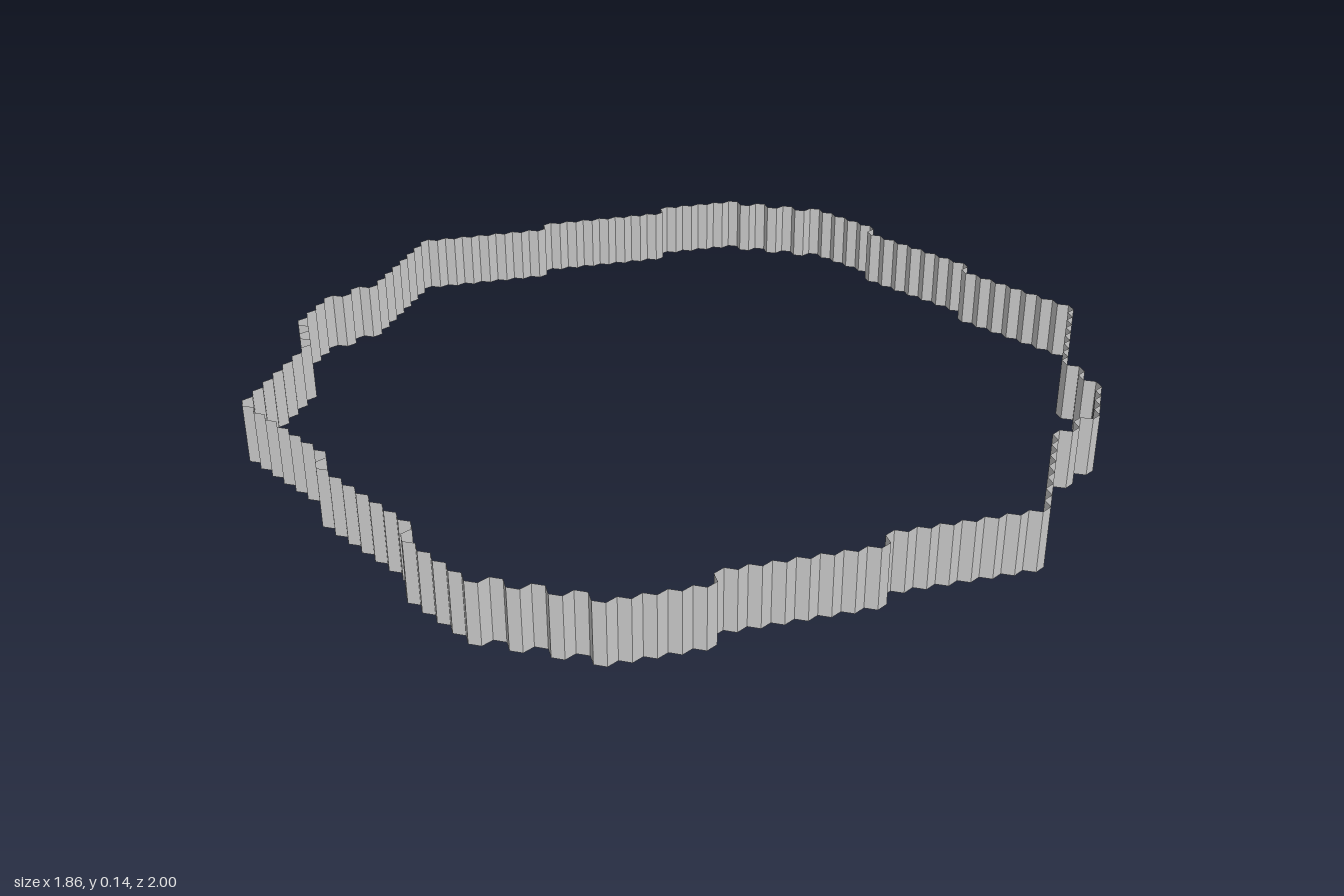
import * as THREE from 'three';

// Hexagonal cell grid: row pitch, cell side and wall height
const PITCH = 1 / 22;
const SIDE = PITCH / Math.sqrt(3);
const HEIGHT = 3 * PITCH;
const LAST_COLUMN = 23;

// Row (in pitches) of the outermost cell of each column
function outerRow(c) {
  if (c <= 2) return 21 + (c % 2) / 2;
  if (c <= 7) return 23 - c / 2;
  if (c <= 14) return 22 - c / 2;
  if (c <= 21) return 21 - c / 2;
  return c === 22 ? 3 : c === LAST_COLUMN ? 1.5 : -0.5;
}

// Quarter of the zigzag border, from the front middle round to the left side
function quarterOutline() {
  const points = [];
  const add = (x, z) => points.push([x * SIDE, z * PITCH]);
  for (let c = 0; c <= LAST_COLUMN; c++) {
    const edge = outerRow(c) + 0.5;
    const next = outerRow(c + 1) + 0.5;
    if (c > 0) add(1.5 * c - 0.5, edge);
    add(1.5 * c + 0.5, edge);
    // Step down the exposed sides of this column's cells
    for (let k = 1; edge - k / 2 > next; k++) {
      add(1.5 * c + (k % 2 ? 1 : 0.5), edge - k / 2);
    }
  }
  add(1.5 * LAST_COLUMN + 0.5, 0);
  return points;
}

// Mirror the quarter into a closed loop
function closedOutline() {
  const quarter = quarterOutline();
  const back = quarter.slice(0, -1).reverse().map(([x, z]) => [x, -z]);
  const half = [...quarter, ...back];
  return [...half, ...half.map(([x, z]) => [-x, -z])];
}

// Upright thin wall panels along the loop
function wallGeometry(loop) {
  const positions = [];
  loop.forEach(([ax, az], i) => {
    const [bx, bz] = loop[(i + 1) % loop.length];
    positions.push(ax, 0, az, bx, 0, bz, bx, HEIGHT, bz);
    positions.push(ax, 0, az, bx, HEIGHT, bz, ax, HEIGHT, az);
  });
  const geometry = new THREE.BufferGeometry();
  geometry.setAttribute('position', new THREE.Float32BufferAttribute(positions, 3));
  geometry.computeVertexNormals();
  return geometry;
}

export function createModel() {
  const group = new THREE.Group();
  group.name = 'hexCellBorder';
  const material = new THREE.MeshStandardMaterial({
    color: 0xcccccc, flatShading: true, side: THREE.DoubleSide,
  });
  const wall = new THREE.Mesh(wallGeometry(closedOutline()), material);
  wall.name = 'borderWall';
  group.add(wall);
  return group;
}
